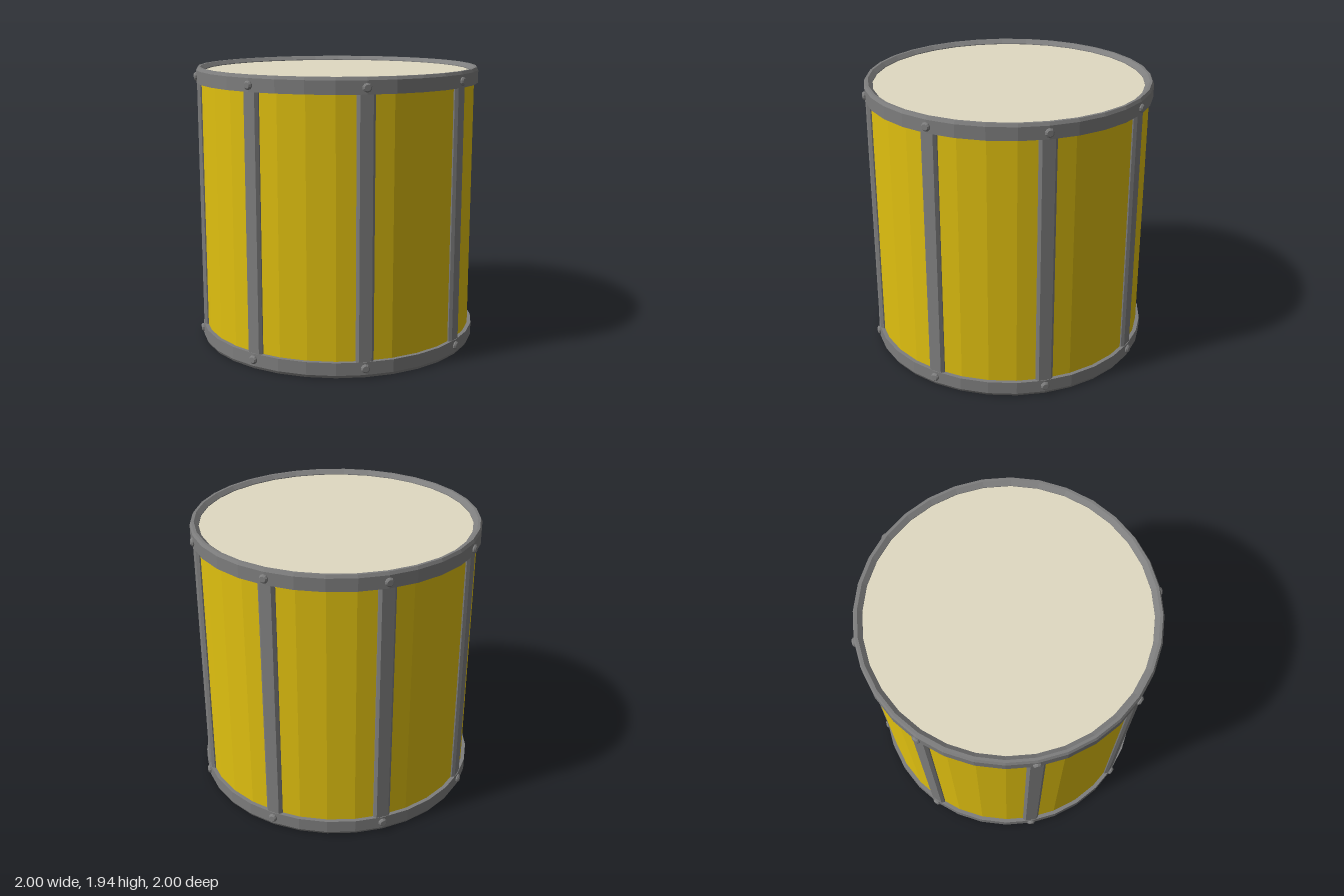
import * as THREE from 'three';

const SIDES = 32, LUGS = 8, HEIGHT = 1.94;

const material = (name, color, flatShading = true) =>
  Object.assign(new THREE.MeshStandardMaterial({ color, flatShading }), { name });

function part(name, geometry, mat, parent) {
  const mesh = new THREE.Mesh(geometry, mat);
  mesh.name = name;
  parent.add(mesh);
  return mesh;
}

const lathe = (points, sides) =>
  new THREE.LatheGeometry(points.map(([x, y]) => new THREE.Vector2(x, y)), sides);

export function createModel() {
  const yellow = material('yellow shell', 0xe0c010);
  const grey = material('grey metal', 0x7e7e7e);
  const cream = material('cream skin', 0xe0dac2);

  const drum = new THREE.Group();
  drum.name = 'drum';

  // Faceted shell
  const shell = part('shell',
    new THREE.CylinderGeometry(0.957, 0.957, HEIGHT - 0.1, SIDES, 1, true), yellow, drum);
  shell.position.y = HEIGHT / 2;

  // Hoop section: bevelled outside, sloping inwards to the skin; y runs from the drum's middle
  const top = HEIGHT / 2;
  const hoopGeometry = lathe([
    [0.925, top - 0.107], [0.984, top - 0.107], [0.984, top - 0.02], [0.973, top],
    [0.955, top], [0.925, top - 0.025], [0.925, top - 0.107],
  ], SIDES);
  const skinGeometry = new THREE.CircleGeometry(0.93, SIDES).rotateX(-Math.PI / 2);
  const boltGeometry = lathe([[0.03, -0.02], [0.03, 0.008], [0.02, 0.018], [0, 0.018]], 10)
    .rotateX(Math.PI / 2);

  // Both ends are alike, the lower one turned upside down
  for (const name of ['topEnd', 'bottomEnd']) {
    const end = new THREE.Group();
    end.name = name;
    end.position.y = HEIGHT / 2;
    if (name === 'bottomEnd') end.rotation.x = Math.PI;
    part('hoop', hoopGeometry, grey, end);
    part('skin', skinGeometry, cream, end).position.y = top - 0.03;
    for (let i = 0; i < LUGS; i++) {
      const angle = (i / LUGS) * Math.PI * 2;
      const bolt = part('bolt', boltGeometry, grey, end);
      bolt.position.set(Math.sin(angle) * 0.982, top - 0.065, Math.cos(angle) * 0.982);
      bolt.rotation.y = angle;
    }
    drum.add(end);
  }

  // Upright strips with chamfered edges, running between the hoops
  const section = new THREE.Shape([
    [-0.059, -0.93], [-0.059, -0.96], [-0.042, -0.978],
    [0.042, -0.978], [0.059, -0.96], [0.059, -0.93],
  ].map(([x, y]) => new THREE.Vector2(x, y)));
  const stripGeometry = new THREE.ExtrudeGeometry(section, { depth: HEIGHT - 0.16, bevelEnabled: false })
    .rotateX(-Math.PI / 2);
  for (let i = 0; i < LUGS; i++) {
    const strip = part('strip', stripGeometry, grey, drum);
    strip.position.y = 0.08;
    strip.rotation.y = (i / LUGS) * Math.PI * 2;
  }

  return drum;
}
